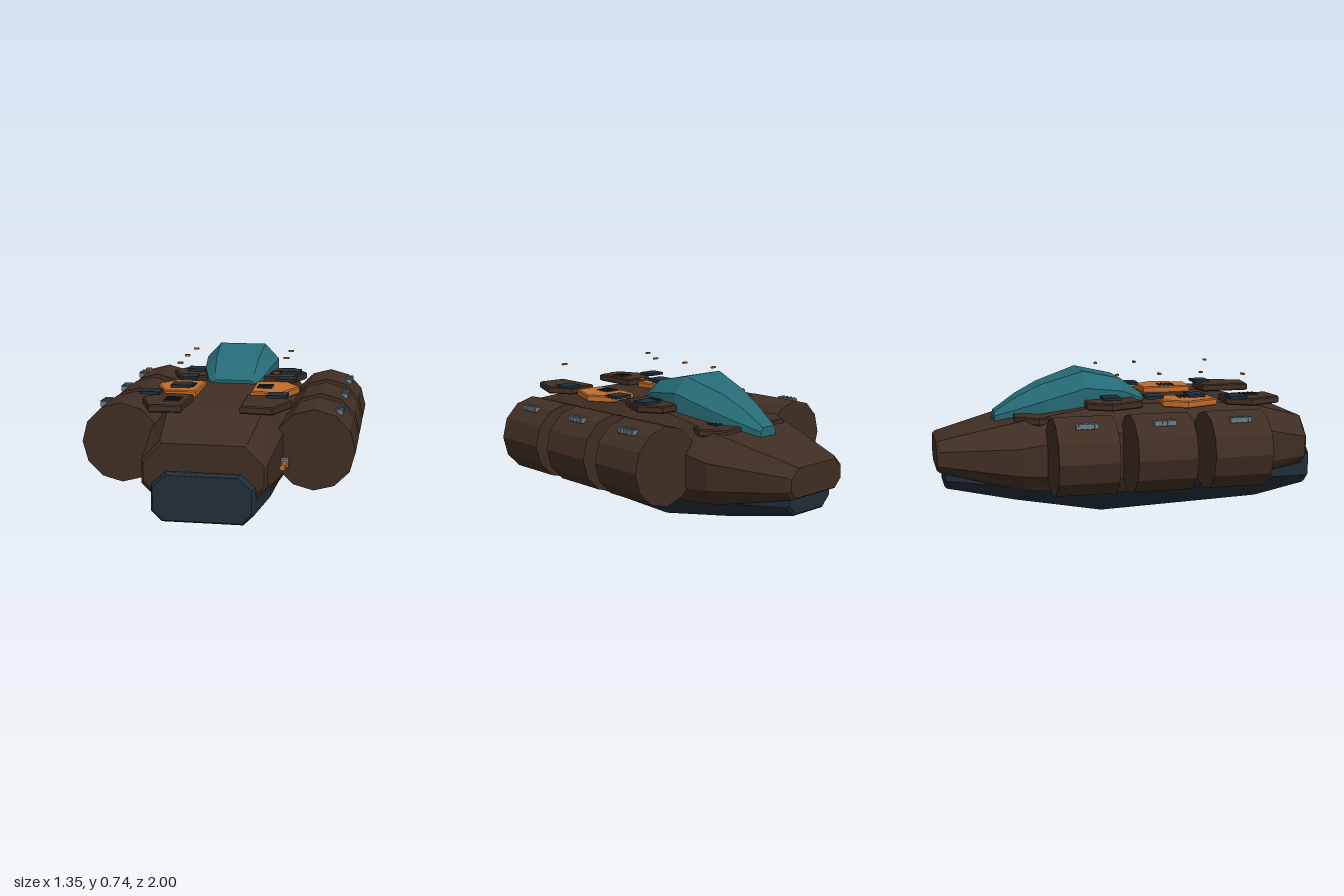
import * as THREE from 'three';

const mat = (name, color) => {
  const m = new THREE.MeshStandardMaterial({ color, flatShading: true });
  m.name = name;
  return m;
};

// Loft of chamfered rectangles, front to back.
// Section: [z, halfWidth, yBottom, yTop, topChamferX, topChamferY, bottomChamferX, bottomChamferY]
function loft(sections) {
  const pos = [], idx = [];
  for (const [z, w, b, t, cx, cy, bx = cx, by = cy] of sections) {
    const ring = [[w - bx, b], [w, b + by], [w, t - cy], [w - cx, t],
      [cx - w, t], [-w, t - cy], [-w, b + by], [bx - w, b]];
    for (const [x, y] of ring) pos.push(x, y, z);
  }
  const last = (sections.length - 1) * 8;
  for (let i = 0; i < last; i += 8) {
    for (let j = 0; j < 8; j++) {
      const k = (j + 1) % 8, a = i + j, q = i + k, c = i + 8 + k, d = i + 8 + j;
      idx.push(a, d, c, a, c, q);
    }
  }
  for (let j = 1; j < 7; j++) idx.push(0, j, j + 1, last, last + j + 1, last + j);
  const g = new THREE.BufferGeometry();
  g.setAttribute('position', new THREE.Float32BufferAttribute(pos, 3));
  g.setIndex(idx);
  const flat = g.toNonIndexed();
  flat.computeVertexNormals();
  return flat;
}

export function createModel() {
  const model = new THREE.Group();
  model.name = 'spacecraft';
  const brown = mat('hull brown', 0x402e23);
  const navy = mat('dark navy', 0x202d38);
  const teal = mat('canopy teal', 0x256a75);
  const orange = mat('accent orange', 0xc26c2a);
  const grey = mat('fitting grey', 0x6b7c88);

  const add = (name, geo, material, x = 0, y = 0, z = 0, parent = model) => {
    const m = new THREE.Mesh(geo, material);
    m.name = name;
    m.position.set(x, y, z);
    parent.add(m);
    return m;
  };
  const box = (name, w, h, d, material, x, y, z, parent) =>
    add(name, new THREE.BoxGeometry(w, h, d), material, x, y, z, parent);

  // Main body
  add('hull', loft([
    [0.962, 0.28, 0.22, 0.455, 0.09, 0.09, 0.05, 0.05],
    [0.95, 0.293, 0.21, 0.467, 0.09, 0.1, 0.05, 0.05],
    [0.62, 0.325, 0.15, 0.555, 0.09, 0.12, 0.05, 0.08],
    [0.2, 0.345, 0.13, 0.572, 0.1, 0.13, 0.05, 0.08],
    [-0.15, 0.35, 0.12, 0.572, 0.1, 0.13, 0.05, 0.09],
    [-0.6, 0.345, 0.16, 0.5, 0.1, 0.12, 0.06, 0.08],
    [-0.985, 0.2, 0.24, 0.405, 0.05, 0.05, 0.04, 0.04],
    [-1, 0.185, 0.25, 0.395, 0.05, 0.05, 0.04, 0.04],
  ]), brown);
  add('keel', loft([
    [1, 0.23, 0.1, 0.315, 0.065, 0.055, 0.045, 0.045],
    [0.985, 0.24, 0.09, 0.325, 0.07, 0.06, 0.05, 0.05],
    [0.71, 0.28, 0.03, 0.31, 0.07, 0.06, 0.1, 0.12],
    [-0.15, 0.3, 0, 0.3, 0.07, 0.06, 0.12, 0.14],
    [-0.6, 0.27, 0.08, 0.3, 0.07, 0.06, 0.1, 0.09],
    [-0.95, 0.16, 0.145, 0.27, 0.04, 0.03, 0.05, 0.05],
    [-0.96, 0.15, 0.155, 0.26, 0.04, 0.03, 0.05, 0.05],
  ]), navy);
  add('canopy', loft([
    [0.1, 0.115, 0.53, 0.588, 0.02, 0.015],
    [0.07, 0.14, 0.52, 0.618, 0.035, 0.03],
    [-0.03, 0.175, 0.52, 0.69, 0.06, 0.06, 0.02, 0.02],
    [-0.23, 0.2, 0.5, 0.735, 0.075, 0.08, 0.02, 0.02],
    [-0.45, 0.15, 0.46, 0.665, 0.07, 0.08, 0.02, 0.02],
    [-0.57, 0.108, 0.44, 0.605, 0.05, 0.06, 0.02, 0.02],
    [-0.69, 0.055, 0.44, 0.525, 0.015, 0.02],
  ]), teal);

  // Side tanks with ribbed vents, and feed pipes
  const tankGeo = new THREE.CylinderGeometry(0.2, 0.2, 0.3, 12).rotateX(Math.PI / 2);
  const pipeGeo = new THREE.CylinderGeometry(0.015, 0.015, 0.46, 8).rotateX(Math.PI / 2);
  for (const s of [1, -1]) {
    for (const z of [0.47, 0.08, -0.31]) {
      add('sideTank', tankGeo, brown, s * 0.475, 0.36, z);
      const vent = new THREE.Group();
      vent.name = 'tankVent';
      vent.position.set(s * 0.588, 0.53, z);
      model.add(vent);
      box('ventBase', 0.035, 0.024, 0.11, grey, 0, 0, 0, vent);
      for (let i = 0; i < 4; i++) {
        box('ventRib', 0.041, 0.03, 0.008, grey, 0, 0.001, -0.039 + i * 0.026, vent);
      }
    }
    add('feedPipe', pipeGeo, orange, s * 0.337, 0.297, 0.5);
    box('pipeBracket', 0.04, 0.042, 0.03, grey, s * 0.337, 0.3, 0.64);
  }

  // Five-sided armour plates along the deck
  const plate = (s, x, y, z, material) => {
    const outline = [[0.14, -0.13], [0.29, -0.14], [0.36, -0.03], [0.29, 0.14], [0.145, 0.125]];
    const shape = new THREE.Shape(outline.map(([px, pz]) => new THREE.Vector2(s * (px + x), -pz)));
    const geo = new THREE.ExtrudeGeometry(shape, {
      depth: 0.026, bevelEnabled: true, bevelSegments: 1, bevelSize: 0.006, bevelThickness: 0.006,
    }).rotateX(-Math.PI / 2);
    add('deckPlate', geo, material, 0, y, z);
  };
  for (const s of [1, -1]) {
    const y = s > 0 ? 0.568 : 0.562;
    plate(s, 0, y, 0.645, brown);
    plate(s, 0, y, 0.3, orange);
    plate(s, 0, y, -0.1, brown);
    plate(s, -0.08, 0.49, -0.46, brown);
  }

  // Slatted grilles
  for (const [x, y, z] of [[-0.205, 0.596, 0.65], [-0.205, 0.596, 0.3], [0.197, 0.602, 0.305],
    [0.197, 0.602, -0.08], [0.145, 0.524, -0.46]]) {
    for (let i = 0; i < 4; i++) {
      box('grilleSlat', 0.075, 0.009, 0.01, navy, x, y, z - 0.036 + i * 0.024);
    }
  }

  // Equipment hatches, each with a marker light hovering above
  for (const [x, z] of [[-0.235, -0.11], [0.285, -0.11], [-0.237, 0.115], [0.285, 0.115],
    [-0.227, 0.345], [-0.34, 0.535], [0.287, 0.535]]) {
    box('hatch', 0.1, 0.014, 0.09, navy, x, 0.606, z);
    box('markerLight', 0.028, 0.009, 0.016, orange, x, 0.724, z + 0.034);
  }
  return model;
}
